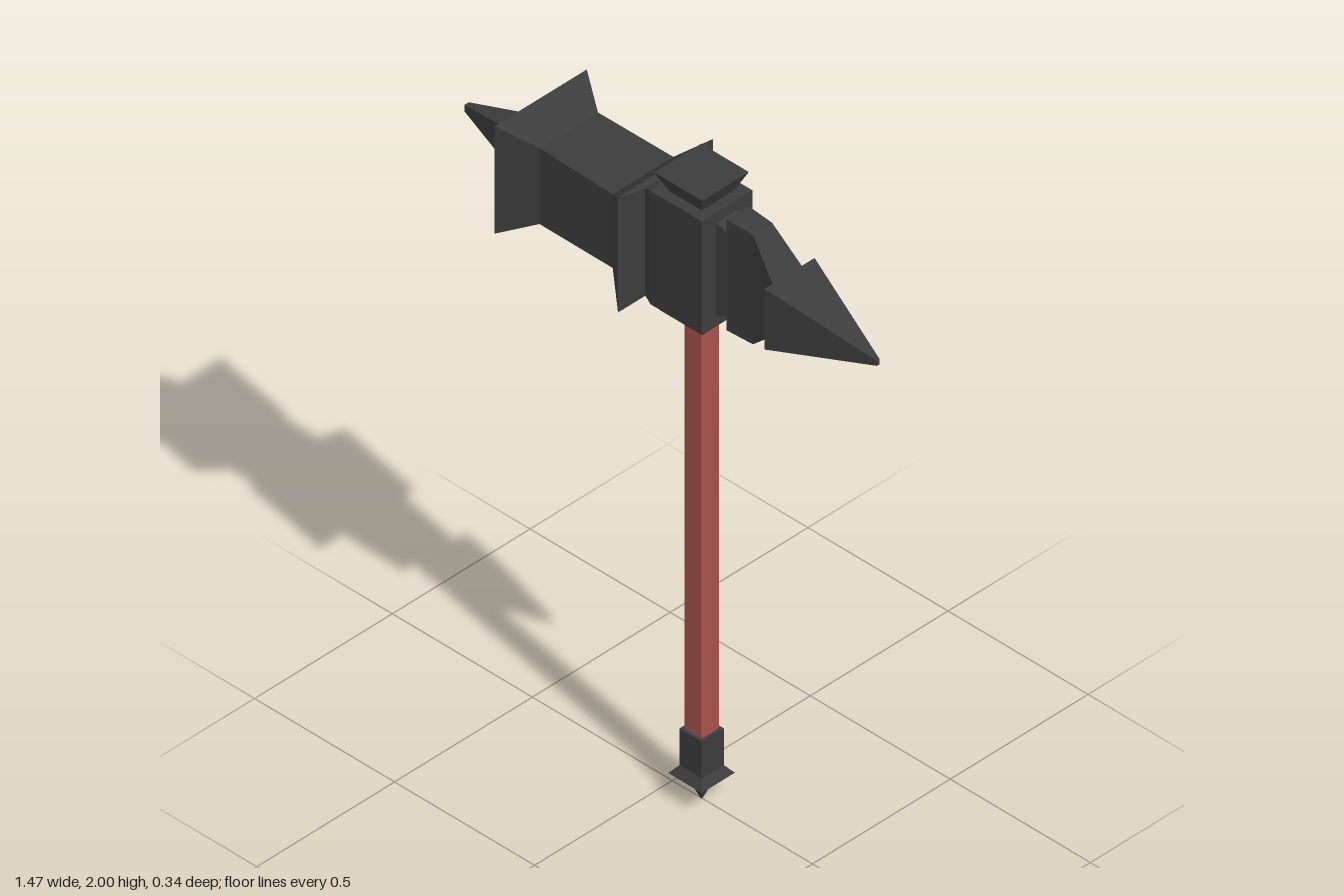
import * as THREE from 'three';

const iron = new THREE.MeshStandardMaterial({ color: 0x3c3c3c, flatShading: true });
const wood = new THREE.MeshStandardMaterial({ color: 0xa5524a, flatShading: true });
const SHAFT_X = 0.104;

// Rectangular loft along 'x' or 'y'. Each section: [position, height centre, half height, half depth].
// For 'y' the section is [position, z centre, half z, half x].
function loft(name, axis, sections, material = iron) {
  const corners = [[-1, -1], [1, -1], [1, 1], [-1, 1]];
  const rings = sections.map(([u, c, h, d]) => corners.map(([sv, sw]) => {
    const v = c + sv * h, w = sw * d;
    return axis === 'x' ? [u, v, w] : [w, u, v];
  }));
  const pos = [];
  const quad = (a, b, c, d) => pos.push(...a, ...b, ...c, ...a, ...c, ...d);
  for (let i = 0; i < rings.length - 1; i++) {
    const r = rings[i], s = rings[i + 1];
    for (let k = 0; k < 4; k++) {
      const n = (k + 1) % 4;
      quad(r[k], r[n], s[n], s[k]);
    }
  }
  const first = rings[0], last = rings[rings.length - 1];
  quad(first[3], first[2], first[1], first[0]);
  quad(...last);
  const geometry = new THREE.BufferGeometry();
  geometry.setAttribute('position', new THREE.Float32BufferAttribute(pos, 3));
  geometry.computeVertexNormals();
  const mesh = new THREE.Mesh(geometry, material);
  mesh.name = name;
  if (axis === 'y') mesh.position.x = SHAFT_X;
  return mesh;
}

export function createModel() {
  const model = new THREE.Group();
  model.name = 'warHammer';

  // Shaft and spiked pommel
  model.add(
    loft('handle', 'y', [[0.2, 0, 0.031, 0.031], [1.58, 0, 0.031, 0.031]], wood),
    loft('pommel', 'y', [
      [0, 0, 0.002, 0.002], [0.08, 0, 0.031, 0.031], [0.08, 0, 0.06, 0.06],
      [0.105, 0, 0.04, 0.04], [0.222, 0, 0.04, 0.04],
    ]),
  );

  // Central socket with its lower collar and flared cap
  model.add(
    loft('socket', 'x', [[-0.018, 1.76, 0.17, 0.083], [0.012, 1.76, 0.181, 0.092], [0.195, 1.76, 0.181, 0.092]]),
    loft('lowerCollar', 'y', [[1.56, 0, 0.075, 0.075], [1.58, 0, 0.09, 0.09]]),
    loft('topCap', 'y', [[1.935, 0, 0.056, 0.056], [2, 0, 0.085, 0.085]]),
  );

  // Square hammer head with flared ends, and its blunt spike
  model.add(
    loft('hammerHead', 'x', [
      [-0.47, 1.76, 0.172, 0.167], [-0.37, 1.76, 0.121, 0.106], [-0.105, 1.76, 0.118, 0.11],
      [-0.025, 1.76, 0.184, 0.172], [-0.015, 1.76, 0.17, 0.09],
    ]),
    loft('hammerSpike', 'x', [[-0.735, 1.762, 0.01, 0.008], [-0.47, 1.757, 0.077, 0.058]]),
  );

  // Rear neck, thin blade and large spike
  model.add(
    loft('neck', 'x', [[0.19, 1.76, 0.15, 0.04], [0.235, 1.76, 0.13, 0.035]]),
    loft('blade', 'x', [
      [0.232, 1.762, 0.177, 0.04], [0.322, 1.76, 0.175, 0.035], [0.418, 1.75, 0.075, 0.055],
    ]),
    loft('rearSpike', 'x', [[0.418, 1.747, 0.097, 0.091], [0.735, 1.728, 0.008, 0.005]]),
  );

  return model;
}
